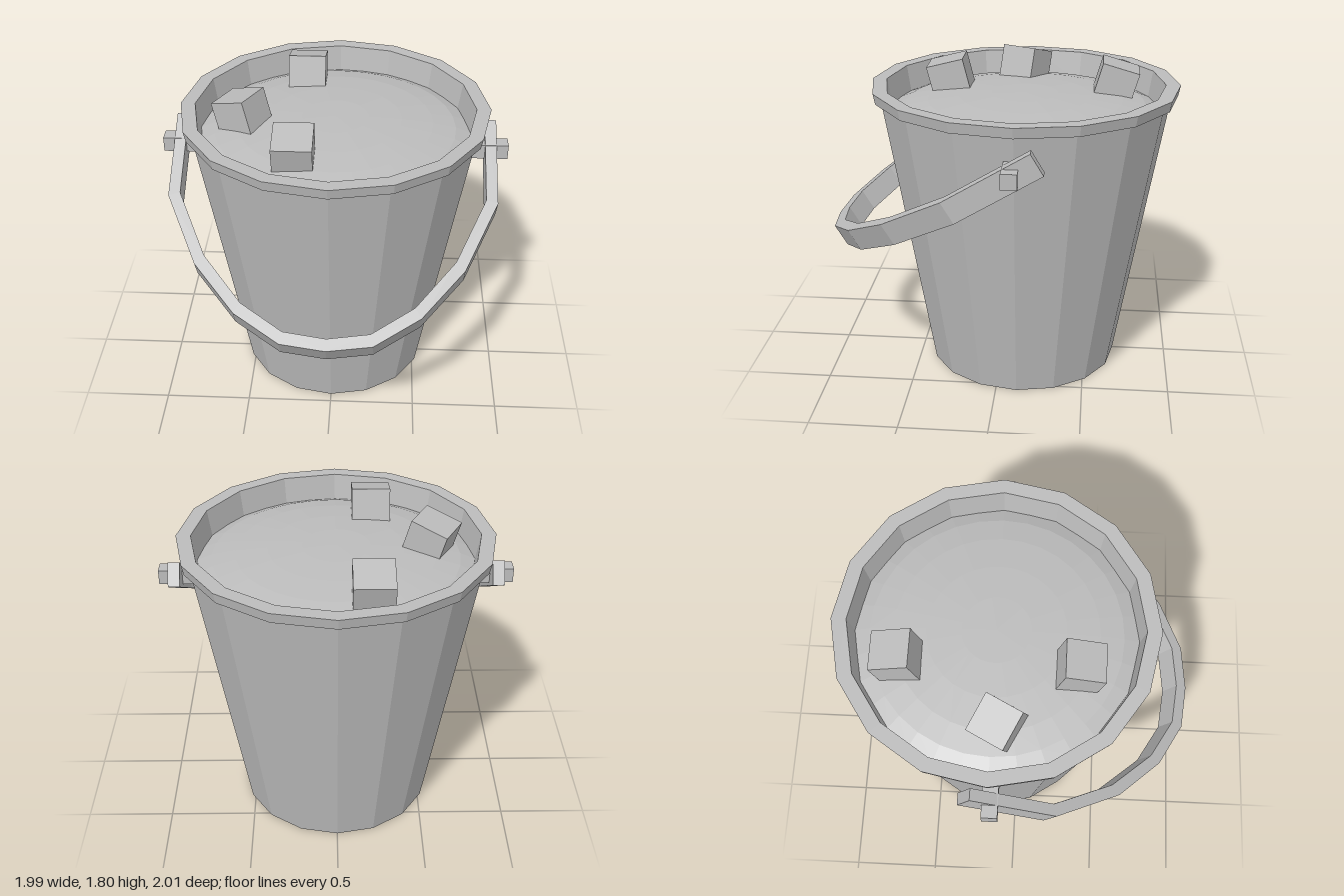
import * as THREE from 'three';

const v2 = (x, y) => new THREE.Vector2(x, y);

export function createModel() {
  const model = new THREE.Group();
  const grey = new THREE.MeshStandardMaterial({ color: 0xbcbcbc, flatShading: true });
  grey.name = 'plain grey';

  const add = (name, geometry, position = [0, 0, 0], rotation = [0, 0, 0]) => {
    const mesh = new THREE.Mesh(geometry, grey);
    mesh.name = name;
    mesh.position.set(...position);
    mesh.rotation.set(...rotation);
    model.add(mesh);
    return mesh;
  };

  const centreZ = -0.12;

  // Sixteen-sided bucket: base, tapered wall, rim and inner lip
  const wall = [[0, 0], [0.56, 0], [0.835, 1.64], [0.87, 1.64], [0.882, 1.7], [0.8, 1.7], [0.77, 1.52]];
  add('bucket', new THREE.LatheGeometry(wall.map(p => v2(...p)), 16), [0, 0, centreZ]);

  // Gently domed liquid surface
  const dome = [[0.78, 1.545], [0.69, 1.582], [0.56, 1.607], [0.38, 1.626], [0.19, 1.637], [0, 1.64]];
  add('liquid', new THREE.LatheGeometry(dome.map(p => v2(...p)), 32), [0, 0, centreZ]);

  // Floating ice cubes
  const cube = new THREE.BoxGeometry(0.22, 0.22, 0.22);
  add('iceCubeBack', cube, [-0.187, 1.66, -0.638], [-0.28, 0, 0]);
  add('iceCubeFront', cube, [-0.205, 1.665, 0.333], [0.25, 0, 0]);
  add('iceCubeSide', cube, [-0.526, 1.66, -0.086], [0, -0.48, 0.28]);

  // Handle band: half outlines (x, distance from the pivot), mirrored and extruded
  const pivot = [0, 1.455, -0.11];
  const outer = [[0.925, -0.153], [0.925, 0.38], [0.74, 0.79], [0.505, 1.07], [0.25, 1.235], [0, 1.268]];
  const inner = [[0.86, -0.153], [0.86, 0.36], [0.69, 0.74], [0.47, 1.01], [0.235, 1.165], [0, 1.198]];
  const arc = half => [
    ...half.map(([x, u]) => v2(x, -u)),
    ...half.slice(0, -1).reverse().map(([x, u]) => v2(-x, -u)),
  ];
  const band = new THREE.Shape([...arc(outer), ...arc(inner).reverse()]);
  const bandGeometry = new THREE.ExtrudeGeometry(band, { depth: 0.135, bevelEnabled: false });
  bandGeometry.translate(0, 0, -0.0775);
  add('handle', bandGeometry, pivot, [THREE.MathUtils.degToRad(-59), 0, 0]);

  // Pivot pins
  for (const [name, side] of [['leftPin', 1], ['rightPin', -1]]) {
    add(name, new THREE.BoxGeometry(0.23, 0.086, 0.086), [side * 0.878, pivot[1], pivot[2]]);
  }

  return model;
}
